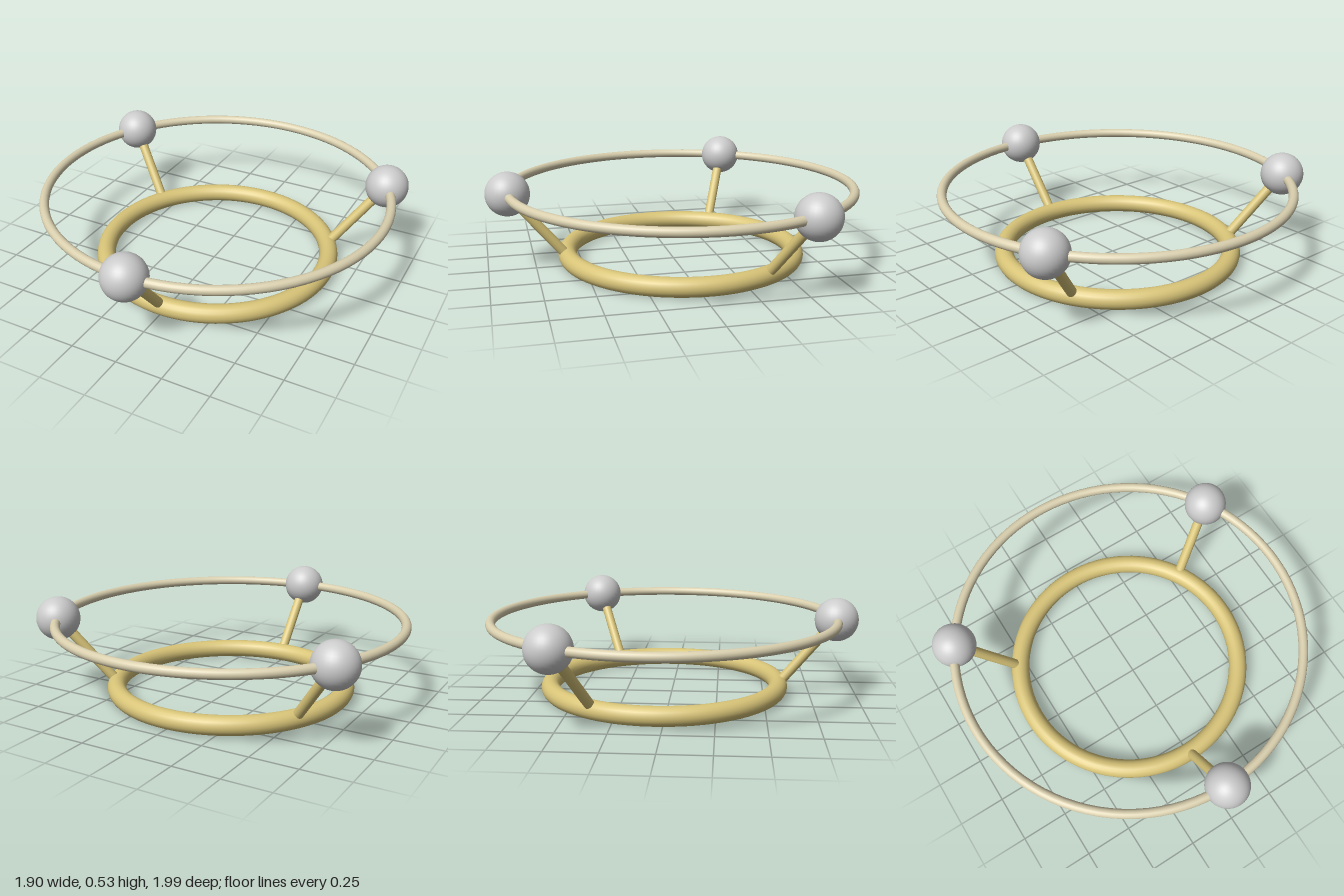
import * as THREE from 'three';

const UP = new THREE.Vector3(0, 1, 0);

export function createModel() {
  const model = new THREE.Group();
  model.name = 'ringStand';
  // the front ball reaches past the ring, so the ring axis sits slightly back
  model.position.z = -0.04;

  const gold = new THREE.MeshStandardMaterial({ color: 0xd8c478 });
  const cream = new THREE.MeshStandardMaterial({ color: 0xd9cfae });
  const grey = new THREE.MeshStandardMaterial({ color: 0xcccccc });

  function add(name, geometry, material) {
    const mesh = new THREE.Mesh(geometry, material);
    mesh.name = name;
    model.add(mesh);
    return mesh;
  }

  function addRing(name, radius, tube, y, material) {
    const geometry = new THREE.TorusGeometry(radius, tube, 20, 96).rotateX(Math.PI / 2);
    add(name, geometry, material).position.y = y;
  }

  // thick base ring and thin upper ring
  addRing('baseRing', 0.62, 0.05, 0.05, gold);
  addRing('upperRing', 0.923, 0.025, 0.413, cream);

  // three balls on the upper ring, each carried by a leaning strut
  for (let i = 0; i < 3; i++) {
    const angle = (i * Math.PI * 2) / 3;
    const at = (radius, y) =>
      new THREE.Vector3(Math.sin(angle) * radius, y, Math.cos(angle) * radius);
    const foot = at(0.643, 0.08);
    const top = at(0.923, 0.413);

    add('ball', new THREE.SphereGeometry(0.116, 32, 20), grey).position.copy(top);

    const axis = top.clone().sub(foot);
    const strut = add('strut', new THREE.CylinderGeometry(0.027, 0.027, axis.length(), 20), gold);
    strut.position.copy(foot).add(top).multiplyScalar(0.5);
    strut.quaternion.setFromUnitVectors(UP, axis.normalize());
  }

  return model;
}
